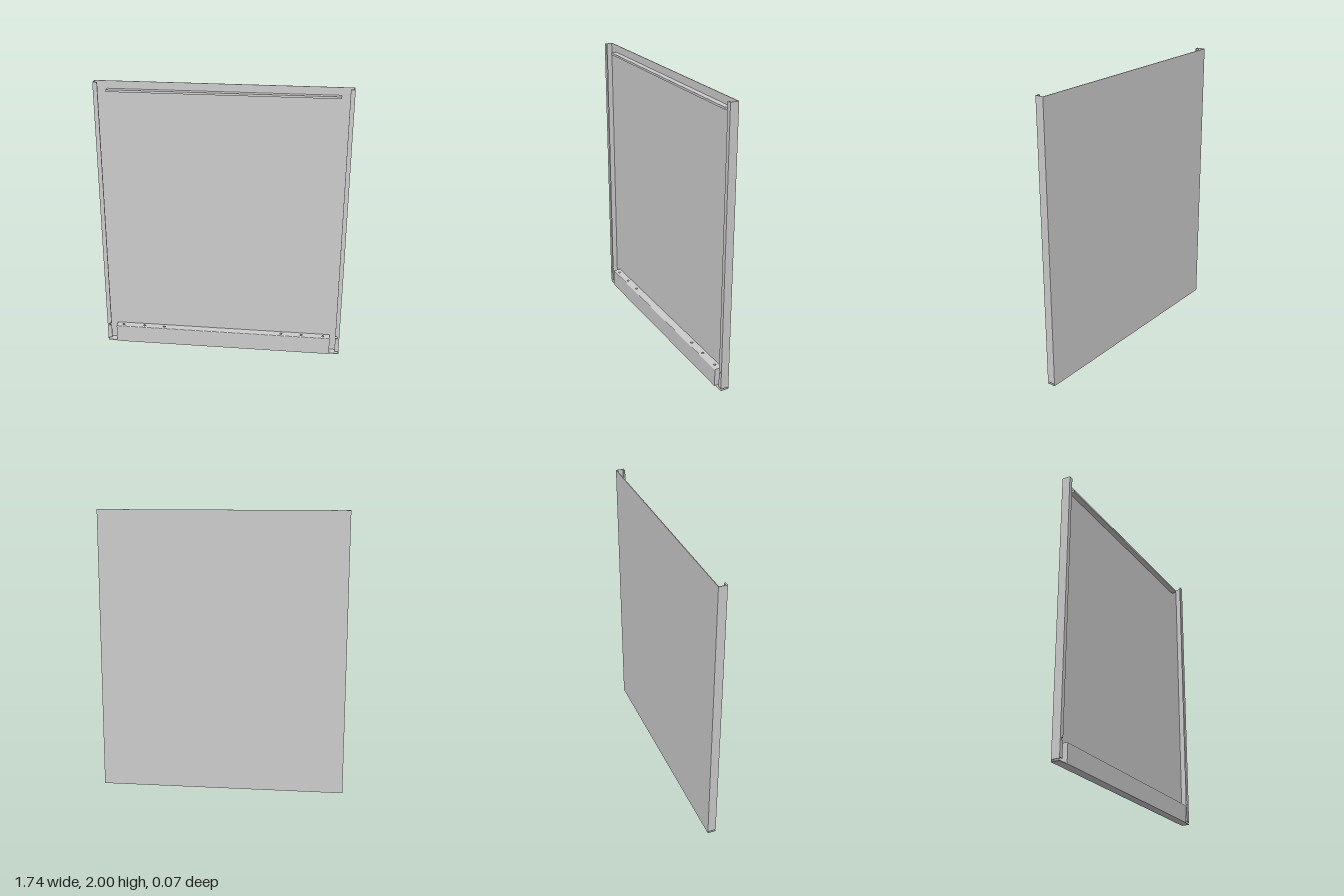
import * as THREE from 'three';

const material = new THREE.MeshStandardMaterial({ color: 0xcccccc, side: THREE.DoubleSide });
const T = 0.005; // sheet thickness
const BACK = -0.033, FLANGE = 0.026, FRONT = 0.033;

export function createModel() {
  const model = new THREE.Group();

  function add(name, geometry, parent = model) {
    const mesh = new THREE.Mesh(geometry, material);
    mesh.name = name;
    parent.add(mesh);
    return mesh;
  }

  // Box given by its limits on each axis
  function plate(name, x0, x1, y0, y1, z0, z1, parent) {
    const g = new THREE.BoxGeometry(x1 - x0, y1 - y0, z1 - z0);
    g.translate((x0 + x1) / 2, (y0 + y1) / 2, (z0 + z1) / 2);
    return add(name, g, parent);
  }

  // Main sheet and folded bottom edge
  plate('backPanel', -0.87, 0.87, 0, 2, BACK, BACK + T);
  plate('bottomFlange', -0.87, 0.87, 0, T, BACK + T, FLANGE);

  // Folded side channels, with a notch in the hemmed front edge
  for (const s of [-1, 1]) {
    const side = new THREE.Group();
    side.name = s > 0 ? 'leftChannel' : 'rightChannel';
    const wall = new THREE.BoxGeometry(T, 1.985, FLANGE - BACK - T);
    wall.translate(s * (0.87 - T / 2), 1.0075, (FLANGE + BACK + T) / 2);
    add('sideWall', wall, side);

    const outline = [
      [0.87, 0.022], [0.87, 2], [0.84, 2], [0.84, 0.145],
      [0.856, 0.145], [0.856, 0.13], [0.84, 0.13], [0.84, 0.022],
    ].map(([x, y]) => new THREE.Vector2(s * x, y));
    const flange = new THREE.ExtrudeGeometry(new THREE.Shape(outline), { depth: 0.009, bevelEnabled: false });
    flange.translate(0, 0, FLANGE - 0.009);
    add('frontFlange', flange, side);
    model.add(side);
  }

  // Long narrow rail near the top
  plate('topRail', -0.787, 0.787, 1.932, 1.947, BACK + T, 0.011);

  // Hollow bottom bracket
  const bracket = new THREE.Group();
  bracket.name = 'bottomBracket';
  model.add(bracket);
  const W = 0.8, H = 0.132, R = 0.006;

  // Front face with a rounded upper bend
  const profile = new THREE.Shape();
  profile.moveTo(FRONT, 0);
  profile.lineTo(FRONT, H - R);
  profile.quadraticCurveTo(FRONT, H, FRONT - R, H);
  profile.lineTo(FRONT - R, H - T);
  profile.lineTo(FRONT - T, H - R);
  profile.lineTo(FRONT - T, 0);
  const face = new THREE.ExtrudeGeometry(profile, { depth: 2 * W, bevelEnabled: false, curveSegments: 4 });
  face.rotateY(-Math.PI / 2);
  face.translate(W, 0, 0);
  add('bracketFace', face, bracket);

  // Top ledge with six round holes
  const ledge = new THREE.Shape();
  const z0 = -0.024, z1 = FRONT - R;
  ledge.moveTo(-W, -z1);
  ledge.lineTo(W, -z1);
  ledge.lineTo(W, -z0);
  ledge.lineTo(-W, -z0);
  for (const x of [-0.75, -0.59, -0.44, 0.44, 0.59, 0.75]) {
    const hole = new THREE.Path();
    hole.absarc(x, -0.004, 0.009, 0, Math.PI * 2, true);
    ledge.holes.push(hole);
  }
  const top = new THREE.ExtrudeGeometry(ledge, { depth: T, bevelEnabled: false, curveSegments: 10 });
  top.rotateX(-Math.PI / 2);
  top.translate(0, H - T, 0);
  add('bracketTop', top, bracket);
  plate('bracketRearLip', -0.787, 0.787, H - 0.02, H - T, z0, z0 + T, bracket);
  plate('bracketBase', -W, W, 0, T, FLANGE, FRONT - T, bracket);

  // Bracket end walls
  for (const s of [-1, 1]) {
    const x = s * (W - T / 2);
    plate('bracketEnd', x - T / 2, x + T / 2, T, H - T, z0, FRONT - T, bracket);
  }

  return model;
}
